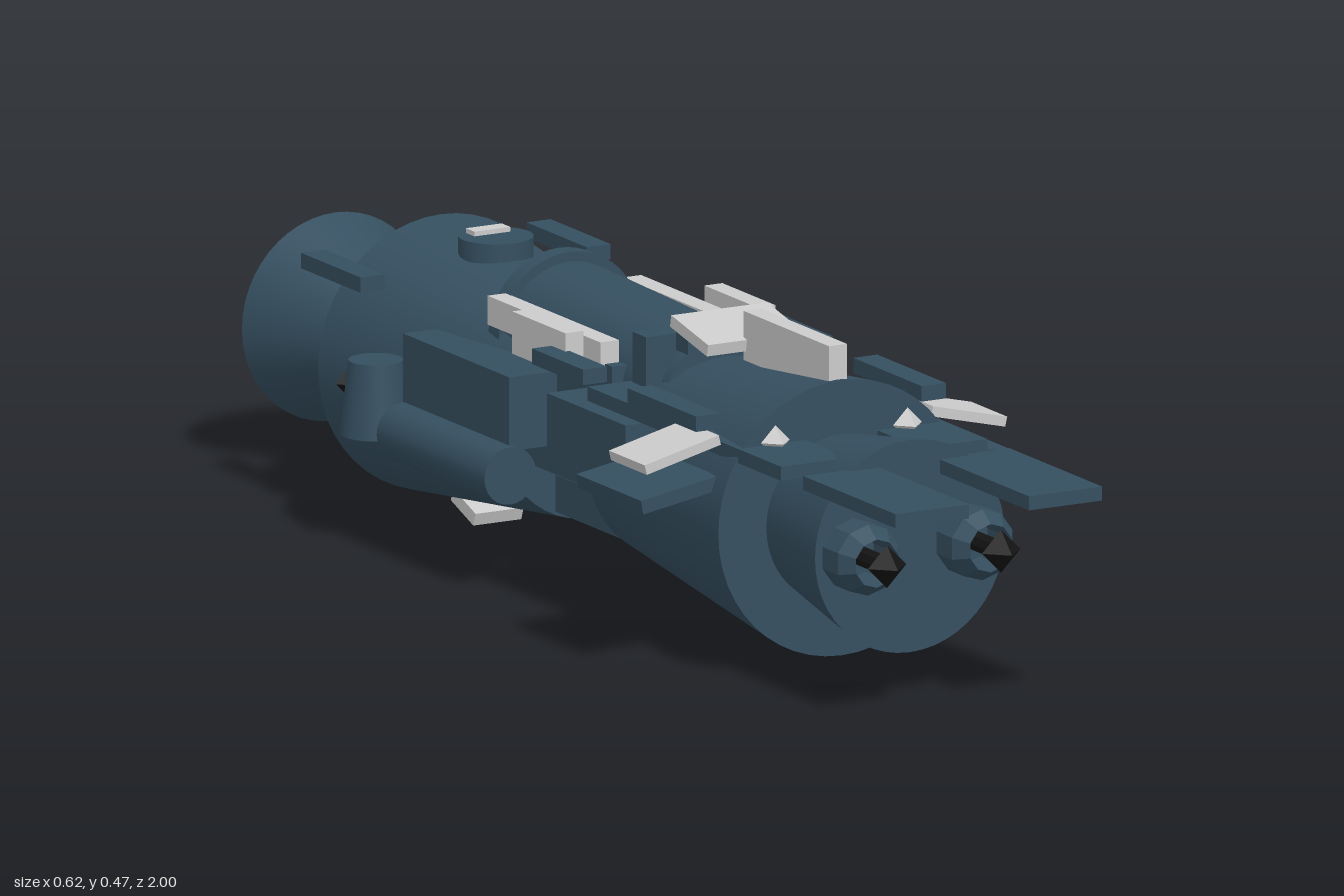
import * as THREE from 'three';

const hullMat = new THREE.MeshStandardMaterial({ color: 0x354f60 });
const greyMat = new THREE.MeshStandardMaterial({ color: 0xcccccc });
const blackMat = new THREE.MeshStandardMaterial({ color: 0x141414, flatShading: true });

export function createModel() {
  const model = new THREE.Group();

  const add = (name, geometry, material, x = 0, y = 0, z = 0) => {
    const mesh = new THREE.Mesh(geometry, material);
    mesh.name = name;
    mesh.position.set(x, y, z);
    model.add(mesh);
    return mesh;
  };
  // Box given by its limits on each axis
  const box = (name, mat, x0, x1, y0, y1, z0, z1) =>
    add(name, new THREE.BoxGeometry(x1 - x0, y1 - y0, z1 - z0), mat,
      (x0 + x1) / 2, (y0 + y1) / 2, (z0 + z1) / 2);
  // Round section along z from back z0 to front z1
  const drum = (name, mat, rFront, rBack, x, y, z0, z1, sides = 48) =>
    add(name, new THREE.CylinderGeometry(rFront, rBack, z1 - z0, sides).rotateX(Math.PI / 2),
      mat, x, y, (z0 + z1) / 2);
  const gem = (name, mat, r, x, y, z) => add(name, new THREE.OctahedronGeometry(r), mat, x, y, z);

  // Main hull: two flared sections, nose and bridging core
  drum('frontHull', hullMat, 0.205, 0.155, 0, 0.218, 0.07, 0.54);
  drum('rearHull', hullMat, 0.155, 0.205, 0, 0.218, -0.63, -0.19);
  drum('nose', hullMat, 0.158, 0.125, 0, 0.218, 0.54, 0.74);
  box('coreBlock', hullMat, -0.12, 0.12, 0.165, 0.36, -0.2, 0.08);
  box('keelBeam', hullMat, -0.06, 0.06, 0.08, 0.135, -0.2, 0.08);

  // Raised spine with end collars
  drum('spine', hullMat, 0.1, 0.11, 0, 0.322, -0.28, 0.2);
  drum('spineRearCollar', hullMat, 0.118, 0.118, 0, 0.328, -0.285, -0.255);
  box('spineFrontCollar', hullMat, -0.07, 0.07, 0.4, 0.445, 0.18, 0.215);
  box('spineFrontBase', hullMat, -0.12, 0.12, 0.35, 0.425, 0.14, 0.18);
  const visor = box('sensorPlate', greyMat, -0.08, 0.08, 0.425, 0.443, 0.18, 0.29);
  visor.rotation.x = 0.2;
  box('dorsalFin', greyMat, -0.015, 0.015, 0.4, 0.473, 0.28, 0.53);

  // Rear antenna dish with dark feed
  drum('rearDish', hullMat, 0.012, 0.155, 0, 0.205, -0.94, -0.62);
  drum('dishFeed', blackMat, 0.037, 0.018, 0, 0.205, -1, -0.94, 8);

  // Rear hatch, its cap and small sensors
  add('rearHatch', new THREE.CylinderGeometry(0.055, 0.055, 0.05, 32), hullMat, 0, 0.4, -0.47);
  box('hatchCap', greyMat, -0.03, 0.03, 0.41, 0.432, -0.505, -0.48);
  gem('rearSensor', greyMat, 0.022, -0.035, 0.35, -0.71);
  gem('rearSensor', greyMat, 0.022, 0.1, 0.347, -0.7);
  box('rearBlock', greyMat, 0.08, 0.1, 0.34, 0.36, -0.66, -0.62);
  box('rearLowerBlock', greyMat, -0.03, 0.03, 0.08, 0.1, -0.645, -0.62);
  const foot = box('bellyPlate', greyMat, -0.04, 0.04, 0.01, 0.03, -0.53, -0.46);
  foot.rotation.x = 0.35;

  // Paired equipment on both flanks
  for (const s of [-1, 1]) {
    const sideBox = (name, mat, x0, x1, ...rest) =>
      s > 0 ? box(name, mat, x0, x1, ...rest) : box(name, mat, -x1, -x0, ...rest);

    // Forward panels and long shoulder strips
    sideBox('forwardPanel', hullMat, 0.05, 0.172, 0.32, 0.341, 0.73, 1);
    sideBox('shoulderStrip', hullMat, 0.06, 0.172, 0.32, 0.341, 0.1, 0.665);

    // Front thruster collars with dark lamps
    const collar = [[0.036, -0.07], [0.036, 0.07], [0.053, 0.045], [0.053, -0.07]]
      .map(([r, h]) => new THREE.Vector2(r, h));
    add('thrusterCollar', new THREE.LatheGeometry(collar, 10).rotateX(Math.PI / 2),
      new THREE.MeshStandardMaterial({ color: 0x354f60, flatShading: true, side: THREE.DoubleSide }),
      s * 0.095, 0.218, 0.74);
    gem('frontLamp', blackMat, 0.032, s * 0.095, 0.22, 0.84);
    drum('lampStem', blackMat, 0.015, 0.015, s * 0.095, 0.22, 0.74, 0.83, 8);
    gem('frontSensor', greyMat, 0.024, s * 0.11, 0.345, 0.54);

    // Tilted side fins
    const greyFin = sideBox('upperFin', greyMat, 0.175, 0.302, 0.323, 0.338, 0.39, 0.495);
    greyFin.rotation.z = -s * 0.24;
    const darkFin = sideBox('lowerFin', hullMat, 0.18, 0.31, 0.262, 0.283, 0.31, 0.5);
    darkFin.rotation.z = -s * 0.17;

    // Flank boxes, pod and tapered canister
    sideBox('frontFlankBox', hullMat, 0.13, 0.2, 0.215, 0.32, 0.03, 0.26);
    sideBox('rearFlankBox', hullMat, 0.12, 0.2, 0.21, 0.32, -0.39, -0.08);
    drum('sidePod', hullMat, 0.043, 0.043, s * 0.204, 0.176, -0.385, -0.07, 24);
    add('canister', new THREE.CylinderGeometry(0.04, 0.052, 0.11, 24), hullMat, s * 0.217, 0.218, -0.44);
    gem('sideLamp', blackMat, 0.03, s * 0.205, 0.22, -0.525);

    // Floating slabs
    for (const [z0, z1] of [[-0.675, -0.5], [0, 0.15], [0.28, 0.48]])
      sideBox('sideSlab', hullMat, 0.168, 0.208, 0.358, 0.381, z0, z1);

    // Grey rails beside the spine
    sideBox('spineRail', greyMat, 0.097, 0.128, 0.35, 0.393, -0.27, 0.06);
    sideBox('sideRail', greyMat, 0.145, 0.175, 0.345, 0.408, -0.115, 0.04);
  }
  return model;
}
